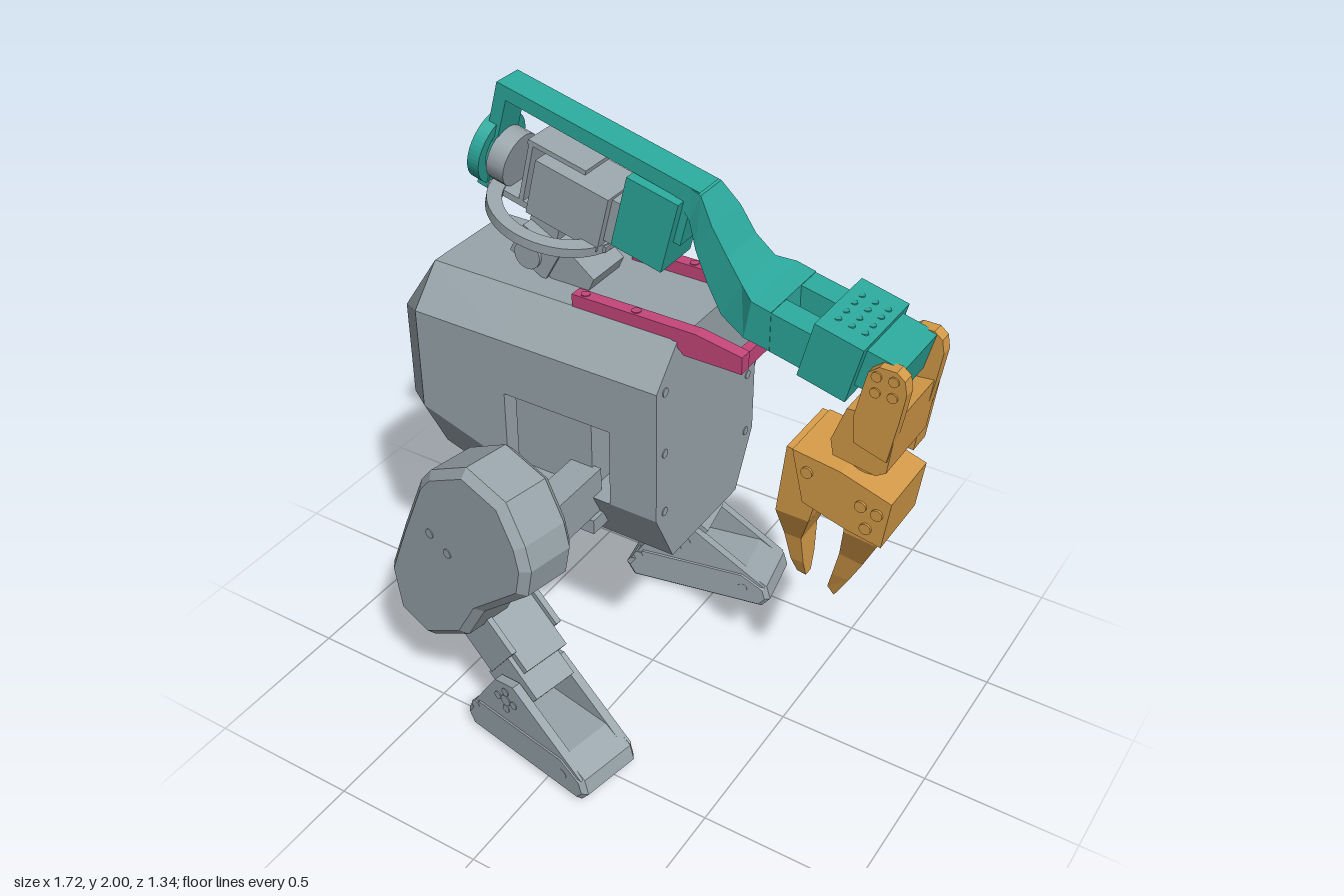
import * as THREE from 'three';
import { ConvexGeometry } from 'three/addons/geometries/ConvexGeometry.js';

const paint = (name, color) => {
  const m = new THREE.MeshStandardMaterial({ color });
  m.name = name;
  return m;
};

export function createModel() {
  const grey = paint('shell grey', 0x99a5ab);
  const teal = paint('arm teal', 0x2ca89c);
  const pink = paint('rail magenta', 0xc4467a);
  const gold = paint('gripper ochre', 0xd49a48);
  const root = new THREE.Group();
  root.name = 'walkingRobot';
  const TILT = -0.24; // slope shared by the whole upper arm

  const add = (parent, name, geo, mat, x = 0, y = 0, z = 0, rz = 0) => {
    const m = new THREE.Mesh(geo, mat);
    m.name = name;
    m.position.set(x, y, z);
    m.rotation.z = rz;
    parent.add(m);
    return m;
  };
  const box = (parent, name, mat, w, h, d, x, y, z = 0, rz = 0) =>
    add(parent, name, new THREE.BoxGeometry(w, h, d), mat, x, y, z, rz);
  // side profile extruded along z, centred
  const slab = (parent, name, mat, pts, depth, z = 0, bevel = 0) => {
    const shape = new THREE.Shape(pts.map(p => new THREE.Vector2(p[0], p[1])));
    const geo = new THREE.ExtrudeGeometry(shape, {
      depth: depth - 2 * bevel, bevelEnabled: bevel > 0, bevelSize: bevel,
      bevelThickness: bevel, bevelOffset: -bevel, bevelSegments: 1,
    });
    geo.translate(0, 0, bevel - depth / 2);
    return add(parent, name, geo, mat, 0, 0, z);
  };
  // four-sided tube; each row is [ax, ay, bx, by, halfWidth], b lying to the right of a along the path
  const loft = (parent, name, mat, rows) => {
    const rings = rows.map(([ax, ay, bx, by, h]) => [[ax, ay, h], [bx, by, h], [bx, by, -h], [ax, ay, -h]]);
    const pos = [];
    const quad = (a, b, c, d) => pos.push(...a, ...b, ...c, ...a, ...c, ...d);
    for (let i = 1; i < rings.length; i++) {
      for (let k = 0; k < 4; k++) {
        const n = (k + 1) % 4;
        quad(rings[i - 1][k], rings[i - 1][n], rings[i][n], rings[i][k]);
      }
    }
    const last = rings[rings.length - 1];
    quad(rings[0][3], rings[0][2], rings[0][1], rings[0][0]);
    quad(last[0], last[1], last[2], last[3]);
    const geo = new THREE.BufferGeometry();
    geo.setAttribute('position', new THREE.Float32BufferAttribute(pos, 3));
    geo.computeVertexNormals();
    return add(parent, name, geo, mat);
  };
  // cylinder along z (or along x when alongX)
  const disc = (parent, name, mat, r, len, x, y, z, alongX = false, rz = 0) => {
    const geo = new THREE.CylinderGeometry(r, r, len, 20);
    if (alongX) geo.rotateZ(Math.PI / 2); else geo.rotateX(Math.PI / 2);
    return add(parent, name, geo, mat, x, y, z, rz);
  };
  // flat washer in the xy plane
  const washer = (outer, inner, depth) => {
    const s = new THREE.Shape().absarc(0, 0, outer, 0, Math.PI * 2);
    s.holes.push(new THREE.Path().absarc(0, 0, inner, 0, Math.PI * 2, true));
    const geo = new THREE.ExtrudeGeometry(s, { depth, bevelEnabled: false, curveSegments: 24 });
    return geo.translate(0, 0, -depth / 2);
  };

  // ---- body: chamfered shell with an opening through both sides
  const body = new THREE.Group();
  body.name = 'body';
  root.add(body);
  const ring = (x, rows) => rows.flatMap(([y, h]) => [new THREE.Vector3(x, y, h), new THREE.Vector3(x, y, -h)]);
  const hull = (name, ...sections) => add(body, name, new ConvexGeometry(sections.flat()), grey);
  const full = (x, low) => ring(x, [[1.435, 0.175], [1.315, 0.285], [low + 0.19, 0.285], [low, 0.19]]);
  const upper = [[1.435, 0.175], [1.315, 0.285], [1.13, 0.285]];
  const lower = [[0.87, 0.285], [0.68, 0.19]];
  hull('bodyRear', ring(-0.865, [[1.17, 0.085], [0.84, 0.085]]), full(-0.655, 0.785), full(-0.34, 0.685));
  hull('bodyTop', ring(-0.34, upper), ring(0.03, upper));
  hull('bodyFloor', ring(-0.34, lower), ring(0.03, lower));
  hull('bodyFront', full(0.03, 0.68), full(0.19, 0.68));
  for (const s of [1, -1]) {
    for (const y of [0.88, 1.09, 1.3]) disc(body, 'panelBolt', grey, 0.014, 0.006, 0.19, y, s * 0.24, true);
  }

  // ---- legs
  const thighPts = [[-0.39, 1.01], [-0.23, 1.1], [-0.07, 1.06], [0.0, 0.94], [0.02, 0.86], [0.0, 0.76], [-0.2, 0.58],
    [-0.28, 0.44], [-0.45, 0.335], [-0.59, 0.375], [-0.62, 0.54], [-0.54, 0.73], [-0.44, 0.95]];
  const solePts = [[-0.36, 0.05], [-0.33, 0], [0.15, 0], [0.18, 0.04], [0.165, 0.09], [0.08, 0.14], [-0.3, 0.14]];
  const cheekPts = [[-0.34, 0.08], [0.16, 0.09], [-0.08, 0.255], [-0.13, 0.29], [-0.21, 0.275]];
  for (const s of [1, -1]) {
    const leg = new THREE.Group();
    leg.name = s > 0 ? 'leftLeg' : 'rightLeg';
    leg.position.z = s * 0.572;
    leg.rotation.y = -s * 0.19;
    root.add(leg);
    slab(leg, 'thighCover', grey, thighPts, 0.2, 0, 0.025);
    for (const x of [-0.395, -0.32]) {
      disc(leg, 'thighBolt', grey, 0.016, 0.006, x, x < -0.35 ? 0.785 : 0.75, s * 0.1);
    }
    // inner drive and knee bracket
    box(leg, 'thighDrive', grey, 0.3, 0.18, 0.08, -0.3, 0.68, -s * 0.13, 1.0);
    box(leg, 'kneePlate', grey, 0.24, 0.13, 0.03, -0.36, 0.49, -s * 0.175, 1.0);
    disc(leg, 'kneeHub', grey, 0.07, 0.24, -0.4, 0.46, -s * 0.07);
    // shin servos between two side plates
    box(leg, 'shinServo', grey, 0.28, 0.14, 0.17, -0.27, 0.36, -s * 0.09, -0.64);
    box(leg, 'ankleServo', grey, 0.16, 0.15, 0.16, -0.17, 0.25, -s * 0.07, -0.64);
    for (const t of [1, -1]) {
      box(leg, 'shinPlate', grey, 0.2, 0.17, 0.02, -0.29, 0.38, -s * 0.09 + t * 0.095, -0.64);
    }
    // foot: sole block with a raised cheek on either side of the ankle
    const mid = -s * 0.065;
    slab(leg, 'sole', grey, solePts, 0.23, mid, 0.015);
    for (const t of [1, -1]) {
      const z = mid + t * 0.096;
      slab(leg, 'footCheek', grey, cheekPts, 0.03, z);
      disc(leg, 'ankleHub', grey, 0.02, 0.036, -0.165, 0.215, z);
      for (let i = 0; i < 4; i++) {
        const a = i * Math.PI / 2;
        disc(leg, 'ankleBolt', grey, 0.014, 0.036, -0.165 + 0.035 * Math.cos(a), 0.215 + 0.035 * Math.sin(a), z);
      }
      for (const x of [-0.31, 0.08]) disc(leg, 'solePin', grey, 0.018, 0.04, x, x < 0 ? 0.1 : 0.07, z);
    }
    // hip joint reaching into the body opening
    box(root, 'hipServo', grey, 0.27, 0.3, 0.2, -0.19, 0.95, s * 0.15);
    box(root, 'hipArm', grey, 0.1, 0.15, 0.26, -0.08, 0.875, s * 0.37);
    box(root, 'hipTab', grey, 0.12, 0.05, 0.08, -0.08, 0.77, s * 0.26);
  }

  // ---- rails on the body top, joined at the front
  const railPts = [[-0.16, 1.475], [0.25, 1.475], [0.395, 1.45], [0.395, 1.395], [0.21, 1.395], [0.17, 1.435], [-0.16, 1.435]];
  for (const s of [1, -1]) {
    slab(root, 'rail', pink, railPts, 0.04, s * 0.158);
    for (const x of [-0.125, 0.045]) {
      const pin = disc(root, 'railPin', pink, 0.014, 0.006, x, 1.475, s * 0.158);
      pin.rotation.x = Math.PI / 2;
    }
  }
  box(root, 'railCrossbar', pink, 0.03, 0.05, 0.3, 0.378, 1.42);

  // ---- neck and shoulder
  const shoulder = new THREE.Group();
  shoulder.name = 'shoulder';
  root.add(shoulder);
  slab(shoulder, 'neckBase', grey, [[-0.35, 1.52], [-0.22, 1.53], [-0.15, 1.475], [-0.17, 1.43], [-0.3, 1.43]], 0.16);
  box(shoulder, 'neckBlock', grey, 0.14, 0.11, 0.18, -0.35, 1.51, 0, -0.5);
  box(shoulder, 'neckPost', grey, 0.1, 0.12, 0.1, -0.34, 1.58, 0, TILT);
  disc(shoulder, 'neckHub', grey, 0.045, 0.2, -0.37, 1.5, 0);
  add(shoulder, 'turntableRing', washer(0.21, 0.165, 0.03).rotateX(Math.PI / 2), grey, -0.325, 1.62, 0, TILT);
  box(shoulder, 'turntableBar', grey, 0.42, 0.02, 0.12, -0.325, 1.62, 0, TILT);
  box(shoulder, 'shoulderServo', grey, 0.25, 0.18, 0.17, -0.235, 1.69, 0, TILT);
  box(shoulder, 'servoCap', grey, 0.06, 0.14, 0.12, -0.09, 1.665, 0, TILT);
  box(shoulder, 'bracketTop', grey, 0.2, 0.015, 0.12, -0.28, 1.82, 0, TILT);
  box(shoulder, 'bracketSide', grey, 0.015, 0.2, 0.12, -0.39, 1.74, 0, TILT);
  disc(shoulder, 'rollMotor', grey, 0.085, 0.06, -0.48, 1.75, 0, true, TILT);

  // ---- upper arm frame and forearm
  const arm = new THREE.Group();
  arm.name = 'arm';
  root.add(arm);
  slab(arm, 'armFrame', teal, [[-0.575, 1.66], [-0.483, 1.995], [0.18, 1.83], [0.14, 1.79], [-0.455, 1.945], [-0.54, 1.65]], 0.1);
  add(arm, 'rollRing', washer(0.112, 0.078, 0.04).rotateY(Math.PI / 2), teal, -0.535, 1.77, 0, TILT);
  box(arm, 'elbowServo', teal, 0.17, 0.23, 0.16, 0.02, 1.7, 0, TILT);
  box(arm, 'elbowHolder', teal, 0.05, 0.17, 0.1, 0.115, 1.74, 0, TILT);
  loft(arm, 'forearmNeck', teal, [[0.15, 1.835, 0.11, 1.79, 0.05], [0.185, 1.825, 0.15, 1.74, 0.055], [0.235, 1.755, 0.185, 1.67, 0.078],
    [0.285, 1.68, 0.225, 1.58, 0.08], [0.34, 1.62, 0.28, 1.505, 0.095], [0.39, 1.6, 0.37, 1.48, 0.13], [0.45, 1.585, 0.45, 1.465, 0.13]]);
  for (const s of [1, -1]) {
    slab(arm, 'forearmProng', teal, [[0.44, 1.585], [0.6, 1.55], [0.57, 1.435], [0.44, 1.465]], 0.085, s * 0.086);
  }
  box(arm, 'wristBlock', teal, 0.15, 0.18, 0.28, 0.635, 1.495, 0, TILT);
  box(arm, 'wristServo', teal, 0.13, 0.12, 0.22, 0.755, 1.48, 0, TILT);
  for (const x of [-0.04, 0, 0.04]) {
    for (const z of [-0.07, -0.025, 0.025, 0.07]) {
      const bolt = disc(arm, 'wristBolt', teal, 0.011, 0.008, 0.657 + x, 1.58 - 0.245 * x, z);
      bolt.rotation.x = Math.PI / 2;
    }
  }

  // ---- gripper
  const grip = new THREE.Group();
  grip.name = 'gripper';
  root.add(grip);
  const yokePts = [[0.735, 1.46], [0.745, 1.505], [0.775, 1.53], [0.825, 1.53], [0.85, 1.51], [0.858, 1.47], [0.845, 1.38],
    [0.82, 1.24], [0.72, 1.27], [0.715, 1.36]];
  for (const s of [1, -1]) {
    slab(grip, 'yokePlate', gold, yokePts, 0.04, s * 0.118);
    for (const [x, y] of [[0.77, 1.5], [0.82, 1.5], [0.77, 1.45], [0.82, 1.45]]) {
      disc(grip, 'yokeBolt', gold, 0.015, 0.01, x, y, s * 0.138);
    }
  }
  slab(grip, 'yokeBody', gold, [[0.69, 1.365], [0.84, 1.38], [0.82, 1.2], [0.79, 1.18], [0.66, 1.2], [0.65, 1.25]], 0.26);
  box(grip, 'yokeSideServo', gold, 0.13, 0.21, 0.08, 0.75, 1.24, -0.14, -0.12);
  disc(grip, 'gripRoll', gold, 0.065, 0.12, 0.72, 1.17, 0, true, Math.PI / 2 - 0.2);
  slab(grip, 'palm', gold, [[0.53, 1.16], [0.68, 1.14], [0.84, 1.09], [0.82, 0.93], [0.71, 0.95], [0.57, 0.99]], 0.23);
  loft(grip, 'rearFinger', gold, [[0.64, 1.14, 0.51, 1.16, 0.11], [0.59, 0.92, 0.483, 0.92, 0.105],
    [0.545, 0.8, 0.49, 0.8, 0.052], [0.55, 0.7, 0.508, 0.7, 0.036], [0.552, 0.64, 0.522, 0.645, 0.016]]);
  loft(grip, 'frontFinger', gold, [[0.84, 1.09, 0.71, 1.1, 0.11], [0.805, 0.92, 0.7, 0.93, 0.105],
    [0.745, 0.79, 0.67, 0.8, 0.052], [0.7, 0.7, 0.645, 0.7, 0.036], [0.648, 0.605, 0.625, 0.63, 0.016]]);
  for (const s of [1, -1]) {
    for (const [x, y] of [[0.58, 1.1], [0.75, 1.05], [0.8, 1.04], [0.77, 0.98]]) {
      disc(grip, 'palmBolt', gold, 0.018, 0.014, x, y, s * 0.115);
    }
  }
  return root;
}
